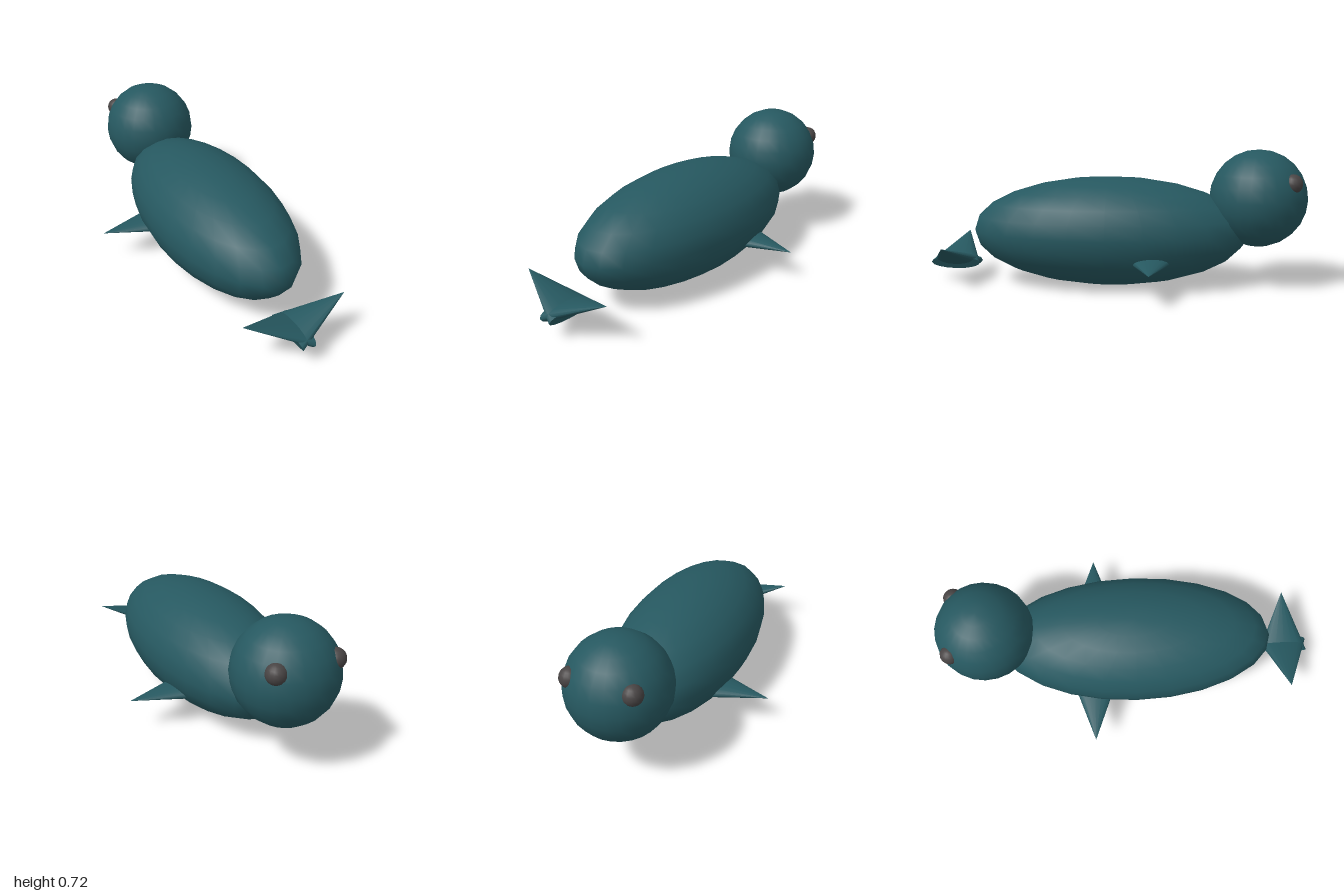
import * as THREE from 'three';

export function createModel() {
  const model = new THREE.Group();
  model.name = 'seal';
  const skin = new THREE.MeshStandardMaterial({ color: 0x265860 });
  skin.name = 'teal skin';
  const eyeDark = new THREE.MeshStandardMaterial({ color: 0x484444 });
  eyeDark.name = 'dark grey eye';

  function ball(name, material, [x, y, z], [rx, ry, rz], w = 24, h = 12) {
    const mesh = new THREE.Mesh(new THREE.SphereGeometry(1, w, h), material);
    mesh.name = name;
    mesh.position.set(x, y, z);
    mesh.scale.set(rx, ry, rz);
    model.add(mesh);
  }

  // Flattened cone in the xy plane, from base centre to tip; wide along z
  function fin(name, base, tip, thickness, width) {
    const axis = tip.clone().sub(base);
    const geometry = new THREE.ConeGeometry(1, axis.length(), 16);
    geometry.scale(thickness, 1, width);
    const mesh = new THREE.Mesh(geometry, skin);
    mesh.name = name;
    mesh.position.copy(base).add(tip).multiplyScalar(0.5);
    mesh.rotation.z = Math.atan2(-axis.x, axis.y);
    model.add(mesh);
  }

  // Body and head; the head points to -z
  ball('body', skin, [0, 0.292, 0.03], [0.335, 0.287, 0.73]);
  ball('head', skin, [0, 0.473, -0.747], [0.253, 0.253, 0.253]);

  // Mirrored eyes, side flippers and tail flukes
  for (const s of [1, -1]) {
    const side = s > 0 ? 'left' : 'right';
    ball(side + 'Eye', eyeDark, [s * 0.151, 0.565, -0.897], [0.05, 0.05, 0.05], 16, 10);
    fin(side + 'Flipper', new THREE.Vector3(s * 0.25, 0.172, -0.193),
      new THREE.Vector3(s * 0.522, 0.172, -0.193), 0.035, 0.1);
    fin(side + 'TailFluke', new THREE.Vector3(s * -0.032, 0.108, 0.867),
      new THREE.Vector3(s * 0.272, 0.231, 0.867), 0.039, 0.133);
  }
  return model;
}
